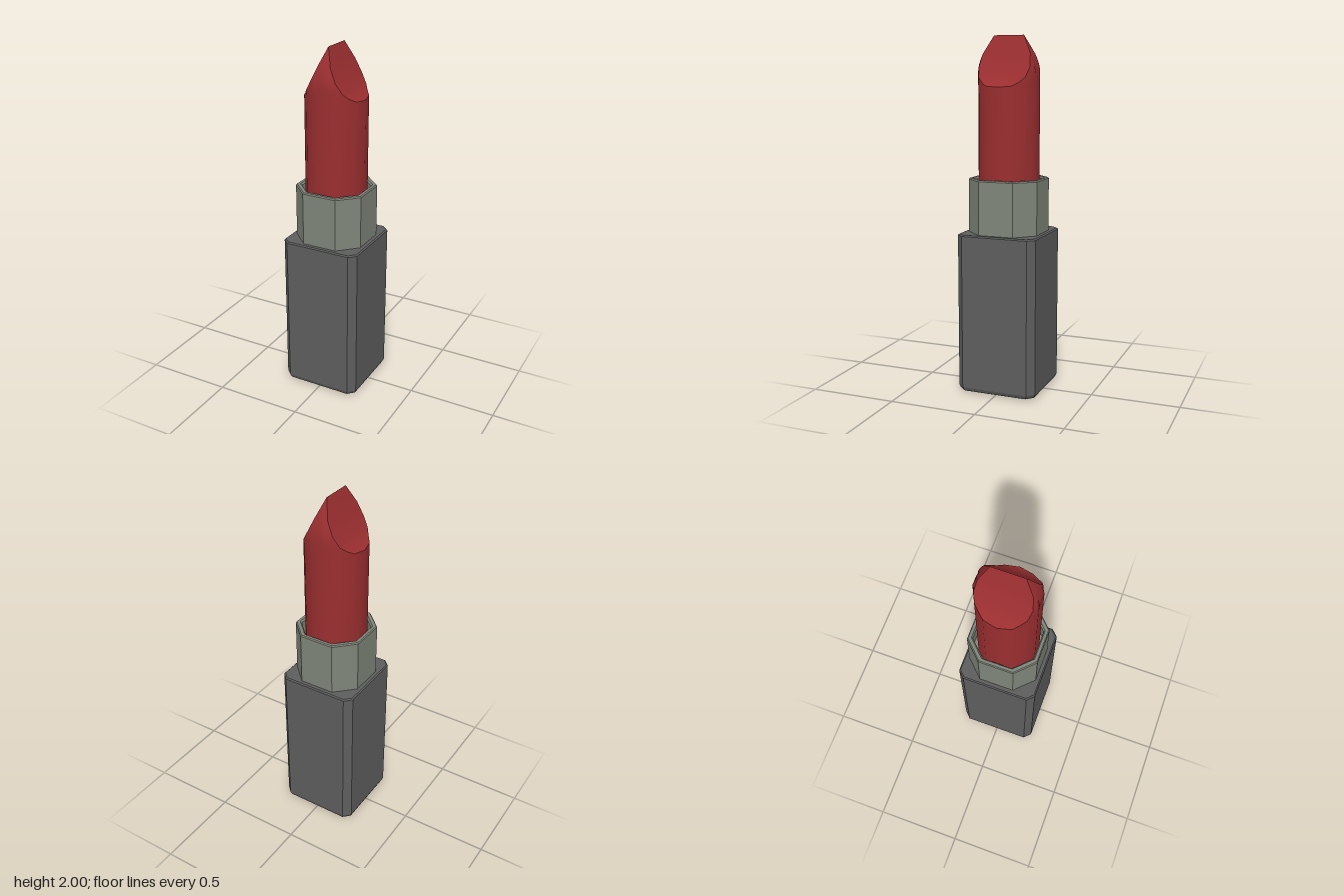
import * as THREE from 'three';

const SIDES = 14, COLS = 28, R = 0.173;

// Skin between successive rings of [x, y, z] points
function loft(rings, { closed = true, flat = false } = {}) {
  const n = rings[0].length, index = [];
  for (let i = 0; i < rings.length - 1; i++) {
    for (let j = 0; j < (closed ? n : n - 1); j++) {
      const k = (j + 1) % n;
      const a = i * n + j, b = i * n + k, c = a + n, d = b + n;
      index.push(a, c, b, b, c, d);
    }
  }
  let geo = new THREE.BufferGeometry();
  geo.setAttribute('position', new THREE.Float32BufferAttribute(rings.flat(2), 3));
  geo.setIndex(index);
  if (flat) geo = geo.toNonIndexed();
  geo.computeVertexNormals();
  return geo;
}

// Square ring with cut corners: half width h, straight half length e
const octagon = (h, e, y) =>
  [[h, -e], [h, e], [e, h], [-e, h], [-h, e], [-h, -e], [-e, -h], [e, -h]].map(([x, z]) => [x, y, z]);

// Half depth of the bullet's 14-sided outline at x
function outline(x) {
  const ax = Math.min(Math.abs(x), R), step = (2 * Math.PI) / SIDES;
  const i = Math.min(Math.floor(Math.acos(ax / R) / step + 1e-6), 3);
  const x0 = R * Math.cos(i * step), x1 = R * Math.cos((i + 1) * step);
  const z0 = R * Math.sin(i * step), z1 = R * Math.sin((i + 1) * step);
  return z0 + ((z1 - z0) * (x0 - ax)) / (x0 - x1);
}

// Height of the scooped cut at x, and taper of the outline at height y
const cutHeight = (x) => 1.72 + 0.28 * Math.pow(Math.max(0, 1 - Math.abs(x) / R), 1.75);
const taper = (y) => 1 - 0.48 * Math.pow(Math.max(0, (y - 1.81) / 0.19), 1.5);

// Column k of the bullet wall, at height y
function wallPoint(k, y) {
  const a = (2 * Math.PI * k) / COLS;
  const reach = k % 2 ? Math.cos(Math.PI / SIDES) : 1;
  const x = R * reach * Math.cos(a), s = taper(y);
  const side = k % (COLS / 2) === 0 ? 0 : Math.sign(Math.sin(a));
  return [x, y, side * s * outline(x / s)];
}
const columnTop = (k) => cutHeight(wallPoint(k, 1.2)[0]);

export function createModel() {
  const group = new THREE.Group();
  const charcoal = new THREE.MeshStandardMaterial({ color: 0x5e5e5e });
  const greyGreen = new THREE.MeshStandardMaterial({ color: 0x80867a });
  const red = new THREE.MeshStandardMaterial({ color: 0x9a2e30 });
  const add = (name, geo, mat, parent = group) => {
    const mesh = new THREE.Mesh(geo, mat);
    mesh.name = name;
    parent.add(mesh);
  };

  // Square case with bevelled edges
  add('case', loft([
    octagon(0, 0, 0), octagon(0.2, 0.175, 0), octagon(0.222, 0.186, 0.01), octagon(0.23, 0.192, 0.03),
    octagon(0.23, 0.192, 0.903), octagon(0.223, 0.188, 0.91), octagon(0, 0, 0.91),
  ], { flat: true }), charcoal);

  // Hollow eight-sided collar
  add('collar', loft([
    octagon(0.203, 0.1, 0.905), octagon(0.203, 0.1, 1.208), octagon(0.198, 0.097, 1.215),
    octagon(0.182, 0.087, 1.215), octagon(0.175, 0.083, 1.205), octagon(0.175, 0.083, 1.1), octagon(0, 0, 1.1),
  ], { flat: true }), greyGreen);

  // Bullet: wall that follows the cut, and two scooped faces meeting in a ridge
  const bullet = new THREE.Group();
  bullet.name = 'bullet';
  group.add(bullet);
  const columns = Array.from({ length: COLS }, (_, k) => k);
  const rings = [columns.map((k) => wallPoint(k, 1.1))];
  for (let i = 0; i <= 10; i++) {
    rings.push(columns.map((k) => wallPoint(k, THREE.MathUtils.lerp(1.7, columnTop(k), i / 10))));
  }
  add('bulletWall', loft(rings), red, bullet);

  for (const [name, start] of [['leftScoop', 0], ['rightScoop', COLS / 4]]) {
    const front = columns.slice(start, start + COLS / 4 + 1).map((k) => wallPoint(k, columnTop(k)));
    const back = front.map(([x, y, z]) => [x, y, -z]);
    add(name, loft([front, back], { closed: false }), red, bullet);
  }
  return group;
}
